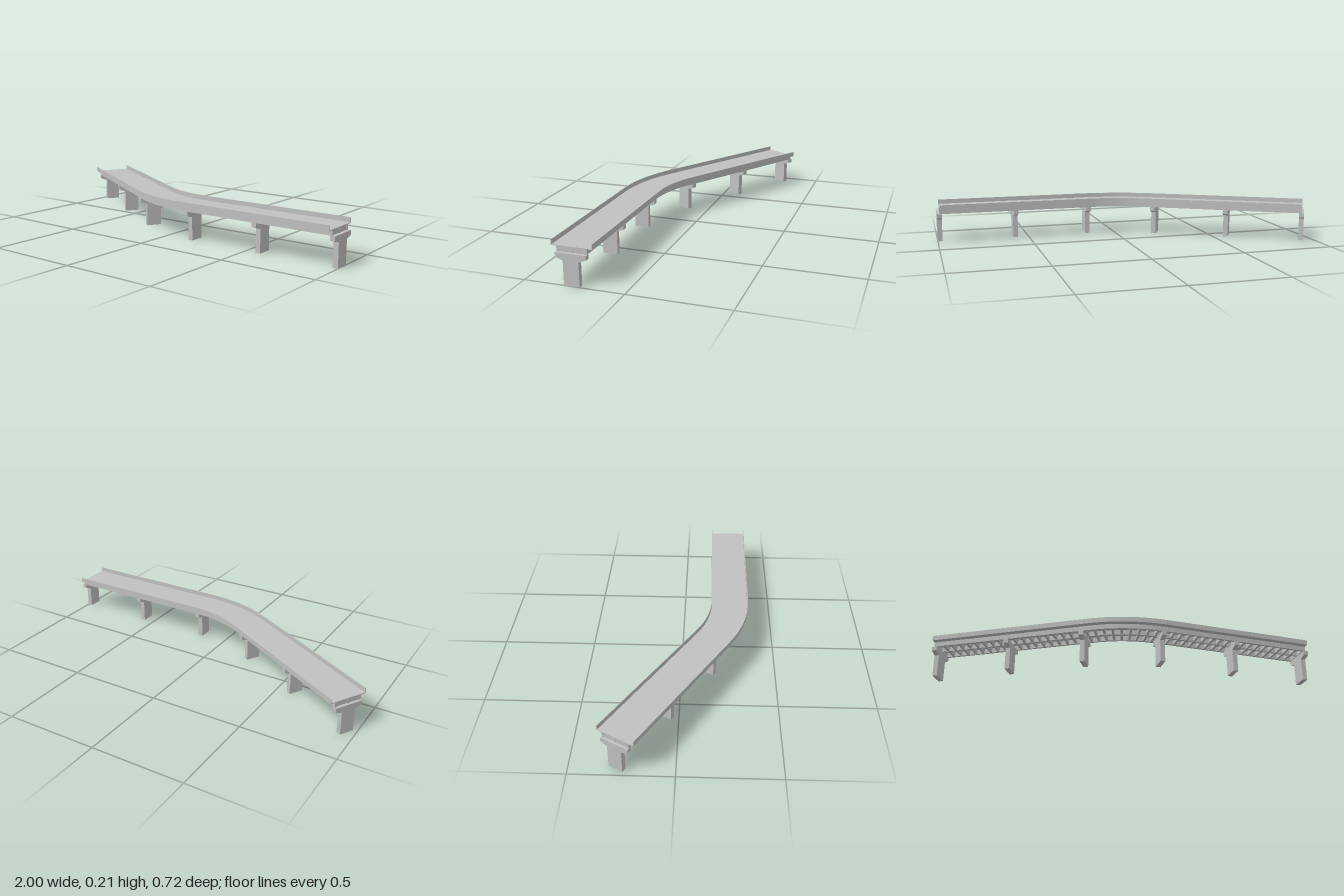
import * as THREE from 'three';

const concrete = new THREE.MeshStandardMaterial({ color: 0xc0c0c0 });
concrete.name = 'concrete grey';

// Road centreline: a straight leg at 30 degrees, an arc, then a straight leg along x
const BEND = Math.PI / 6, R = 0.7, T = R * Math.tan(BEND / 2);
const cornerX = -0.029, roadZ = 0.2575, endX = 0.985;
const leg1 = 1.062 - T, arc = R * BEND, leg2 = endX - cornerX - T;
const total = leg1 + arc + leg2;

function pose(s) {
  const a = BEND * (1 - THREE.MathUtils.clamp((s - leg1) / arc, 0, 1));
  let x = cornerX + T - R * Math.sin(a);
  let z = roadZ - R + R * Math.cos(a);
  const extra = s < leg1 ? s - leg1 : Math.max(0, s - leg1 - arc);
  x += Math.cos(a) * extra;
  z += Math.sin(a) * extra;
  return { x, z, a };
}

// Stations: road ends plus a finely divided arc
const stations = [0];
for (let i = 0; i <= 24; i++) stations.push(leg1 + (arc * i) / 24);
stations.push(total);

// Sweep a counter-clockwise profile of [sideways, height] along the centreline
function sweep(name, profile) {
  const pos = [];
  const point = (k, i) => {
    const { x, z, a } = pose(stations[k]);
    const [u, y] = profile[i];
    return [x - Math.sin(a) * u, y, z + Math.cos(a) * u];
  };
  const tri = (...corners) => corners.forEach(([k, i]) => pos.push(...point(k, i)));
  const last = stations.length - 1;
  for (let k = 0; k < last; k++) {
    for (let i = 0; i < profile.length; i++) {
      const j = (i + 1) % profile.length;
      tri([k, i], [k + 1, i], [k + 1, j]);
      tri([k, i], [k + 1, j], [k, j]);
    }
  }
  const outline = profile.map(([u, y]) => new THREE.Vector2(u, y));
  for (const [a, b, c] of THREE.ShapeUtils.triangulateShape(outline, [])) {
    tri([0, a], [0, b], [0, c]);
    tri([last, a], [last, c], [last, b]);
  }
  const geometry = new THREE.BufferGeometry();
  geometry.setAttribute('position', new THREE.Float32BufferAttribute(pos, 3));
  geometry.computeVertexNormals();
  const mesh = new THREE.Mesh(geometry, concrete);
  mesh.name = name;
  return mesh;
}

export function createModel() {
  const model = new THREE.Group();
  model.name = 'curvedViaduct';

  const place = (geometry, s, name) => {
    const mesh = new THREE.Mesh(geometry, concrete);
    const { x, z, a } = pose(s);
    mesh.position.set(x, 0, z);
    mesh.rotation.y = -a;
    mesh.name = name;
    model.add(mesh);
  };

  // Thin deck with an upright parapet along each edge
  const w = 0.1025, t = 0.0035, low = 0.183, high = 0.21;
  model.add(sweep('deckWithParapets', [
    [-w, low], [w, low], [w, high], [w - t, high],
    [w - t, low + t], [-w + t, low + t], [-w + t, high], [-w, high],
  ]));

  // Three girders under the deck
  const bottom = 0.157, half = 0.0055;
  for (const u of [-0.07, 0, 0.07]) {
    model.add(sweep('girder', [
      [u - half, bottom], [u + half, bottom], [u + half, low], [u - half, low],
    ]));
  }

  // Cross beams between the girders
  const beam = new THREE.BoxGeometry(0.012, low - bottom - 0.001, 0.14);
  beam.translate(0, (low + bottom + 0.001) / 2, 0);
  const beams = 47;
  for (let i = 0; i < beams; i++) {
    place(beam, 0.008 + ((total - 0.016) * i) / (beams - 1), 'crossBeam');
  }

  // Hammerhead piers
  const right = [[0.039, 0], [0.039, 0.122], [0.0765, 0.135], [0.0765, bottom]];
  const left = right.map(([u, y]) => [-u, y]).reverse();
  const outline = [...right, ...left].map(([u, y]) => new THREE.Vector2(u, y));
  const pier = new THREE.ExtrudeGeometry(new THREE.Shape(outline), { depth: 0.026, bevelEnabled: false });
  pier.translate(0, 0, -0.013);
  pier.rotateY(Math.PI / 2);
  const spacing = 0.415;
  for (let i = 0; i < 3; i++) {
    place(pier, 0.002 + i * spacing, 'pier');
    place(pier, total + 0.002 - i * spacing, 'pier');
  }

  return model;
}
